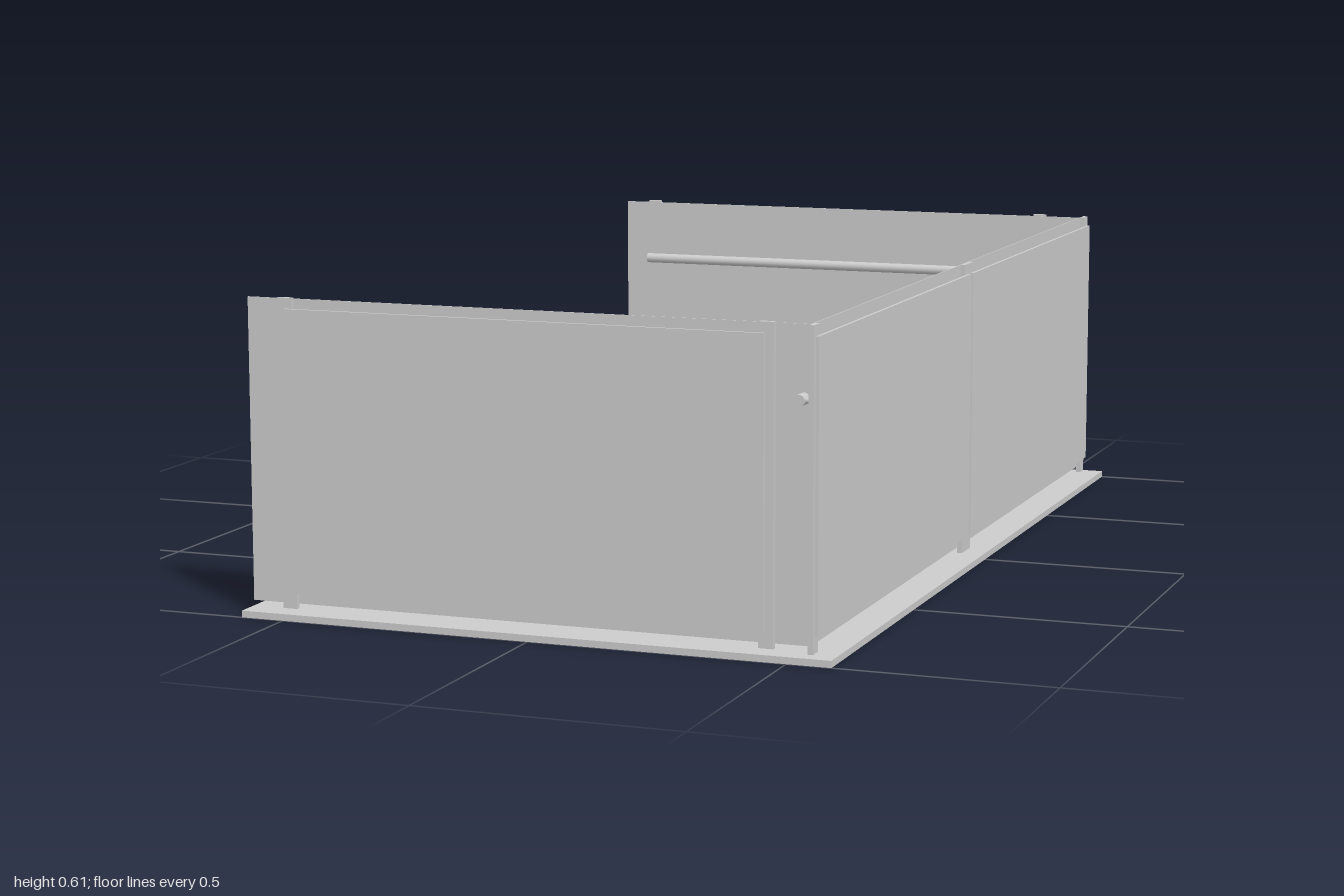
import * as THREE from 'three';

const grey = new THREE.MeshStandardMaterial({ color: 0xcccccc, side: THREE.DoubleSide });

// Box given by its min and max on each axis
function box(parent, name, x0, x1, y0, y1, z0, z1) {
  const mesh = new THREE.Mesh(new THREE.BoxGeometry(x1 - x0, y1 - y0, z1 - z0), grey);
  mesh.position.set((x0 + x1) / 2, (y0 + y1) / 2, (z0 + z1) / 2);
  mesh.name = name;
  parent.add(mesh);
}

// One wall bay: outer cladding on two posts, with a handrail inside.
// Built along local x from 0 to length, local +z is outwards from the liner at z = 0.
function wallBay(name, length, overlap) {
  const bay = new THREE.Group();
  bay.name = name;
  const w = 0.029;
  for (const x of [0, length - w]) {
    box(bay, 'post', x, x + w, 0.018, 0.608, 0.007, 0.017);
  }
  box(bay, 'claddingPanel', overlap, length - overlap, 0.05, 0.588, 0.018, 0.024);

  // Handrail and its short mounts
  const rail = new THREE.Mesh(new THREE.CylinderGeometry(0.011, 0.011, length - 0.01, 20), grey);
  rail.rotation.z = Math.PI / 2;
  rail.position.set(length / 2, 0.472, -0.013);
  rail.name = 'handrail';
  bay.add(rail);
  for (const x of [0.015, length - 0.015]) {
    const mount = new THREE.Mesh(new THREE.CylinderGeometry(0.005, 0.005, 0.02, 10), grey);
    mount.rotation.x = Math.PI / 2;
    mount.position.set(x, 0.472, -0.001);
    mount.name = 'handrailMount';
    bay.add(mount);
  }
  return bay;
}

export function createModel() {
  const model = new THREE.Group();
  model.name = 'threeSidedCabin';

  box(model, 'floor', -0.585, 0.585, 0, 0.013, -1, 1);

  // Thin inner liners on three sides
  box(model, 'frontLiner', -0.582, 0.53, 0.025, 0.605, 0.954, 0.956);
  box(model, 'backLiner', -0.582, 0.53, 0.025, 0.605, -0.966, -0.964);
  box(model, 'leftLiner', 0.529, 0.531, 0.025, 0.605, -0.965, 0.955);

  // End walls
  const front = wallBay('frontWall', 0.978, 0.016);
  front.position.set(-0.512, 0, 0.955);
  const back = wallBay('backWall', 0.978, 0.016);
  back.rotation.y = Math.PI;
  back.position.set(0.448, 0, -0.965);
  model.add(front, back);

  // Long wall in two bays
  for (const [name, z] of [['leftWallFrontBay', 0.99], ['leftWallBackBay', 0.009]]) {
    const bay = wallBay(name, 0.98, 0.006);
    bay.rotation.y = Math.PI / 2;
    bay.position.set(0.53, 0, z);
    model.add(bay);
  }
  return model;
}
